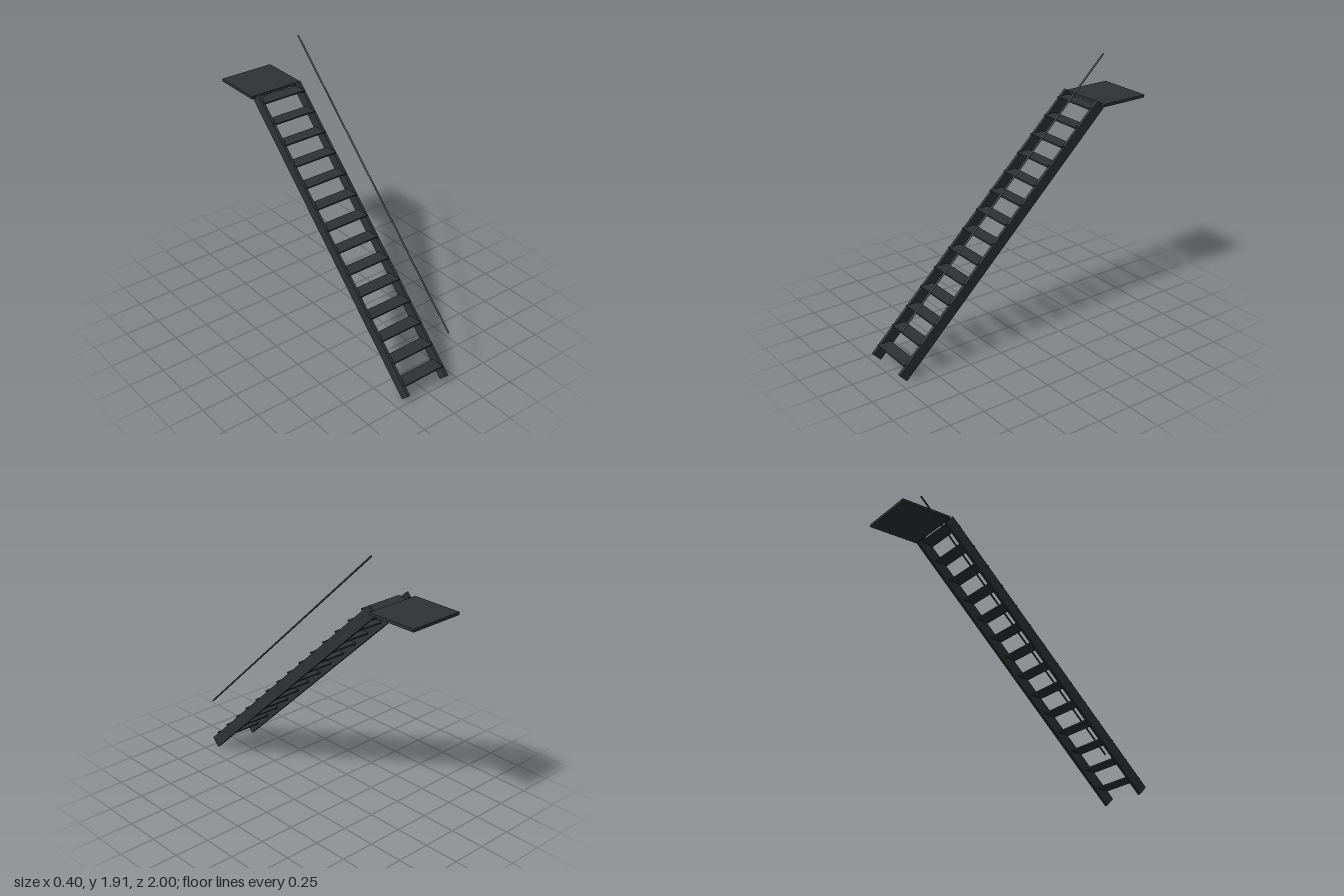
import * as THREE from 'three';

export function createModel() {
  const group = new THREE.Group();
  const material = new THREE.MeshStandardMaterial({ color: 0x303234 });

  const add = (name, geometry, x, y, z, tilt = 0) => {
    const mesh = new THREE.Mesh(geometry, material);
    mesh.name = name;
    mesh.position.set(x, y, z);
    mesh.rotation.x = tilt;
    group.add(mesh);
  };

  // Pitch of the flight, rising towards the back
  const slope = Math.atan2(1.53, 1.605);

  // Side stringers
  const stringer = new THREE.BoxGeometry(0.02, 0.08, 2.217);
  for (const side of [-1, 1]) {
    add(side > 0 ? 'leftStringer' : 'rightStringer', stringer, side * 0.165, 0.797, 0.172, slope);
  }

  // Open treads between the stringers
  const tread = new THREE.BoxGeometry(0.33, 0.01, 0.095);
  for (let i = 0; i < 14; i++) {
    add(`tread${i + 1}`, tread, 0, 0.115 + i * 0.11, 0.913 - i * 0.1149);
  }

  // Landing at the top
  add('landing', new THREE.BoxGeometry(0.4, 0.02, 0.36), 0, 1.556, -0.82);

  // Single handrail on the left, a thin round bar parallel to the flight
  const rail = new THREE.CylinderGeometry(0.006, 0.006, 2.215, 16).rotateX(Math.PI / 2);
  add('handrail', rail, 0.183, 1.148, 0.17, slope);

  return group;
}
